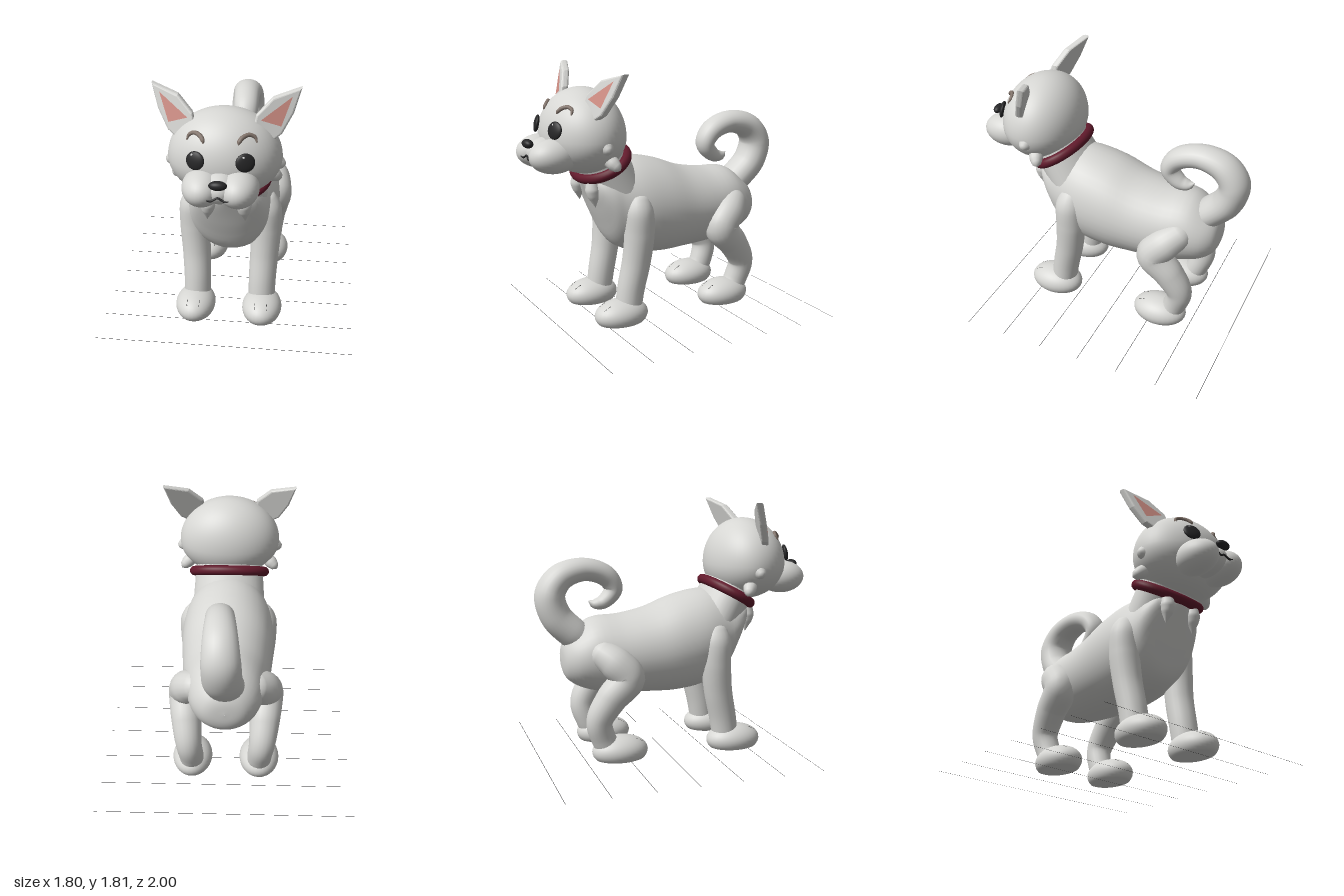
import * as THREE from 'three';
import { mergeVertices } from 'three/addons/utils/BufferGeometryUtils.js';

const mat = (name, color, side = THREE.FrontSide) => {
  const m = new THREE.MeshStandardMaterial({ color, side });
  m.name = name;
  return m;
};
const V = (p) => new THREE.Vector3(...p);

// Weld a moved geometry and give it smooth normals
function smooth(geo) {
  geo.deleteAttribute('uv');
  geo.deleteAttribute('normal');
  const g = mergeVertices(geo, 1e-5);
  g.computeVertexNormals();
  return g;
}

// Tube through [x, y, z, radius] points
function taperTube(points, segs = 40, sides = 20) {
  const curve = new THREE.CatmullRomCurve3(points.map((p) => V(p.slice(0, 3))));
  const geo = new THREE.TubeGeometry(curve, segs, 1, sides);
  const pos = geo.attributes.position, v = new THREE.Vector3();
  for (let i = 0; i <= segs; i++) {
    const c = curve.getPointAt(i / segs);
    const t = curve.getUtoTmapping(i / segs) * (points.length - 1);
    const k = Math.min(Math.floor(t), points.length - 2);
    const r = THREE.MathUtils.lerp(points[k][3], points[k + 1][3], t - k);
    for (let j = 0; j <= sides; j++) {
      const n = i * (sides + 1) + j;
      v.fromBufferAttribute(pos, n).sub(c).multiplyScalar(r).add(c);
      pos.setXYZ(n, v.x, v.y, v.z);
    }
  }
  return smooth(geo);
}

// Elliptic loft along z through [z, bottom, top, halfWidth] sections, front to back
function loft(sections) {
  const heights = new THREE.CatmullRomCurve3(sections.map((s) => V(s.slice(0, 3))));
  const widths = new THREE.CatmullRomCurve3(sections.map((s) => V([s[3], s[0], 0])));
  const geo = new THREE.PlaneGeometry(1, 1, 36, 48);
  const pos = geo.attributes.position;
  for (let i = 0; i < pos.count; i++) {
    const a = (pos.getX(i) + 0.5) * Math.PI * 2, t = 0.5 + pos.getY(i);
    const h = heights.getPoint(t), w = widths.getPoint(t).x;
    const sx = Math.abs(Math.cos(a)) > 0.99999 ? 0 : Math.sin(a);
    pos.setXYZ(i, w * sx, (h.y + h.z) / 2 + ((h.z - h.y) / 2) * Math.cos(a), h.x);
  }
  return smooth(geo);
}

const HEAD = { y: 1.35, z: 0.555, rx: 0.375, ry: 0.33, rz: 0.298 };
// Point on the face at x, y, pushed out by d, with its normal
function onFace(x, y, d = 0) {
  const { rx, ry, rz } = HEAD, dy = y - HEAD.y;
  const dz = rz * Math.sqrt(1 - (x / rx) ** 2 - (dy / ry) ** 2);
  const normal = V([x / rx ** 2, dy / ry ** 2, dz / rz ** 2]).normalize();
  return { point: V([x, y, HEAD.z + dz]).addScaledVector(normal, d), normal };
}

export function createModel() {
  const root = new THREE.Group();
  root.name = 'dog';
  const fur = mat('light grey fur', 0xd6d6d3);
  const black = mat('black', 0x262627, THREE.DoubleSide);
  const pink = mat('inner ear pink', 0xd29086, THREE.DoubleSide);
  const red = mat('collar red', 0x621a2c);
  const brown = mat('brow brown', 0x83756c);
  const white = mat('eye glint', 0xd8d8d8);

  const add = (name, geo, material, parent = root) => {
    const m = new THREE.Mesh(geo, material);
    m.name = name;
    parent.add(m);
    return m;
  };
  const ball = (name, c, r, material) => {
    const m = add(name, new THREE.SphereGeometry(1, 32, 24), material);
    m.position.set(...c);
    m.scale.set(...r);
    return m;
  };

  // Torso
  add('body', loft([
    [0.58, 1.02, 1.04, 0.01], [0.52, 0.88, 1.1, 0.19], [0.45, 0.71, 1.13, 0.25], [0.36, 0.54, 1.16, 0.28],
    [0.2, 0.46, 1.17, 0.325], [0, 0.43, 1.13, 0.335], [-0.2, 0.435, 1.055, 0.32], [-0.4, 0.445, 1.015, 0.3],
    [-0.6, 0.475, 1.0, 0.265], [-0.72, 0.52, 0.92, 0.22], [-0.785, 0.57, 0.86, 0.16], [-0.812, 0.63, 0.8, 0.1],
    [-0.82, 0.71, 0.72, 0.001],
  ]), fur);

  // Neck and collar share one tilt
  const neckGroup = new THREE.Group();
  neckGroup.name = 'neckAndCollar';
  neckGroup.position.set(0, 1.14, 0.427);
  neckGroup.rotation.x = 0.519;
  root.add(neckGroup);
  const neck = add('neck', new THREE.CylinderGeometry(0.25, 0.275, 0.36, 36), fur, neckGroup);
  neck.scale.z = 0.71;
  neck.position.y = -0.13;
  const ring = [];
  for (let i = 0; i < 24; i++) {
    const a = (i / 24) * Math.PI * 2;
    ring.push(V([0.265 * Math.sin(a), 0, 0.183 * Math.cos(a)]));
  }
  add('collar', new THREE.TubeGeometry(new THREE.CatmullRomCurve3(ring, true), 64, 0.036, 14, true), red, neckGroup);

  // Head with a shallower jaw and a flatter back
  const skull = new THREE.SphereGeometry(1, 48, 36);
  const sp = skull.attributes.position;
  for (let i = 0; i < sp.count; i++) {
    if (sp.getY(i) < 0) sp.setY(i, sp.getY(i) * 0.8);
    if (sp.getZ(i) < 0) sp.setZ(i, sp.getZ(i) * 0.93);
  }
  skull.scale(HEAD.rx, HEAD.ry, HEAD.rz).translate(0, HEAD.y, HEAD.z);
  add('head', smooth(skull), fur);

  // Muzzle, nose and mouth
  ball('muzzleBridge', [0, 1.255, 0.82], [0.12, 0.105, 0.15], fur);
  const nose = ball('nose', [0, 1.325, 0.962], [0.058, 0.031, 0.035], black);
  nose.rotation.x = -0.2;
  add('mouth', taperTube([
    [-0.068, 1.231, 0.987, 0.003], [-0.045, 1.225, 0.979, 0.007], [-0.02, 1.236, 0.973, 0.007], [0, 1.246, 0.971, 0.007],
    [0.02, 1.236, 0.973, 0.007], [0.045, 1.225, 0.979, 0.007], [0.068, 1.231, 0.987, 0.003],
  ], 30, 8), black);

  // Ears lean back and turn outward
  const shape = (pts) => new THREE.Shape(pts.map((p) => new THREE.Vector2(...p)));
  const lean = (geo) => {
    const p = geo.attributes.position;
    for (let i = 0; i < p.count; i++) {
      p.setZ(i, p.getZ(i) - 0.25 * (p.getY(i) - 1.58) - 0.3 * (Math.abs(p.getX(i)) - 0.33));
    }
    geo.computeVertexNormals();
    return geo;
  };
  const earPoints = [[0.47, 1.794], [0.31, 1.745], [0.215, 1.65], [0.2, 1.58], [0.3, 1.5], [0.358, 1.54], [0.425, 1.66]];
  const innerPoints = [[0.427, 1.762], [0.234, 1.628], [0.362, 1.582]];

  for (const s of [-1, 1]) {
    const side = s > 0 ? 'left' : 'right';
    const mirror = (pts) => pts.map(([x, ...rest]) => [x * s, ...rest]);

    ball(side + 'Muzzle', [0.115 * s, 1.245, 0.82], [0.132, 0.118, 0.176], fur);

    // Ears
    const ear = new THREE.ExtrudeGeometry(shape(mirror(earPoints)), {
      depth: 0.02, bevelThickness: 0.018, bevelSize: 0.014, bevelSegments: 3,
    });
    add(side + 'Ear', lean(ear.translate(0, 0, 0.562)), fur);
    add(side + 'InnerEar', lean(new THREE.ShapeGeometry(shape(mirror(innerPoints))).translate(0, 0, 0.605)), pink);

    // Eyes
    const e = onFace(0.153 * s, 1.424, 0.012);
    const eye = ball(side + 'Eye', e.point.toArray(), [0.063, 0.06, 0.02], black);
    eye.quaternion.setFromUnitVectors(V([0, 0, 1]), e.normal);
    const g = onFace(0.153 * s - 0.015, 1.455, 0.026);
    ball(side + 'EyeGlint', g.point.toArray(), [0.009, 0.009, 0.005], white);

    // Brows follow the forehead
    const brow = [[0.22, 1.525, 0.004], [0.205, 1.555, 0.012], [0.17, 1.572, 0.014], [0.13, 1.562, 0.015],
      [0.112, 1.54, 0.014], [0.11, 1.525, 0.002]];
    add(side + 'Brow', taperTube(brow.map(([x, y, r]) => [...onFace(x * s, y, 0.004).point.toArray(), r]), 24, 10), brown);

    // Cheek tufts
    add(side + 'UpperCheekTuft', taperTube(mirror([
      [0.32, 1.32, 0.545, 0.06], [0.36, 1.305, 0.545, 0.045], [0.388, 1.295, 0.545, 0.02], [0.394, 1.292, 0.545, 0]]), 12, 14), fur);
    add(side + 'LowerCheekTuft', taperTube(mirror([
      [0.27, 1.23, 0.51, 0.05], [0.32, 1.19, 0.48, 0.047], [0.35, 1.165, 0.46, 0.03], [0.362, 1.155, 0.45, 0]]), 12, 14), fur);

    // Chest tufts under the collar
    add(side + 'ChestTuft', taperTube(mirror([
      [0.12, 1.06, 0.54, 0.04], [0.122, 0.98, 0.545, 0.054], [0.125, 0.93, 0.54, 0.042], [0.13, 0.855, 0.53, 0.002]]), 20, 16), fur);

    // Legs
    add(side + 'FrontLeg', taperTube(mirror([
      [0.19, 0.95, 0.25, 0], [0.225, 0.9, 0.25, 0.085], [0.257, 0.82, 0.255, 0.106], [0.257, 0.65, 0.255, 0.108],
      [0.246, 0.45, 0.275, 0.102], [0.237, 0.25, 0.315, 0.098], [0.237, 0.08, 0.34, 0.095]])), fur);
    add(side + 'HindLeg', taperTube(mirror([
      [0.12, 0.83, -0.64, 0.03], [0.19, 0.78, -0.58, 0.1], [0.262, 0.71, -0.49, 0.12], [0.285, 0.61, -0.415, 0.122],
      [0.277, 0.47, -0.53, 0.108], [0.26, 0.31, -0.615, 0.092], [0.245, 0.18, -0.585, 0.087], [0.243, 0.07, -0.53, 0.085]]), 56), fur);

    // Flat-soled paws with toe marks
    for (const [name, z] of [['Front', 0.395], ['Hind', -0.465]]) {
      const paw = new THREE.SphereGeometry(1, 32, 24).scale(0.143, 0.11, 0.2);
      const pp = paw.attributes.position;
      for (let i = 0; i < pp.count; i++) pp.setY(i, Math.max(pp.getY(i), -0.06));
      add(side + name + 'Paw', smooth(paw.translate(0.243 * s, 0.08, z)), fur);
      for (const dx of [-0.042, 0.042]) {
        const toe = add(side + name + 'ToeMark', new THREE.BoxGeometry(0.005, 0.006, 0.05), black);
        toe.position.set(0.243 * s + dx, 0.153, z + 0.13);
        toe.rotation.x = 0.5;
      }
    }
  }

  // Curled tail, a little wider than tall
  const tail = taperTube([
    [0, 0.8, -0.62, 0.1], [0, 0.9, -0.74, 0.11], [0.01, 1.02, -0.85, 0.11], [0.015, 1.17, -0.888, 0.107],
    [0.02, 1.29, -0.81, 0.096], [0.025, 1.338, -0.64, 0.082], [0.03, 1.285, -0.48, 0.076], [0.032, 1.19, -0.425, 0.066],
    [0.032, 1.1, -0.5, 0.052], [0.03, 1.09, -0.57, 0.035], [0.03, 1.115, -0.61, 0.001],
  ], 72, 24);
  tail.scale(1.22, 1, 1);
  tail.computeVertexNormals();
  add('tail', tail, fur);

  // Thin flat ground strips
  for (let i = 0; i < 7; i++) {
    const strip = add('groundStrip', new THREE.PlaneGeometry(1.8, 0.003).rotateX(-Math.PI / 2), black);
    strip.position.z = -0.998 + 0.3 * i;
  }
  return root;
}
